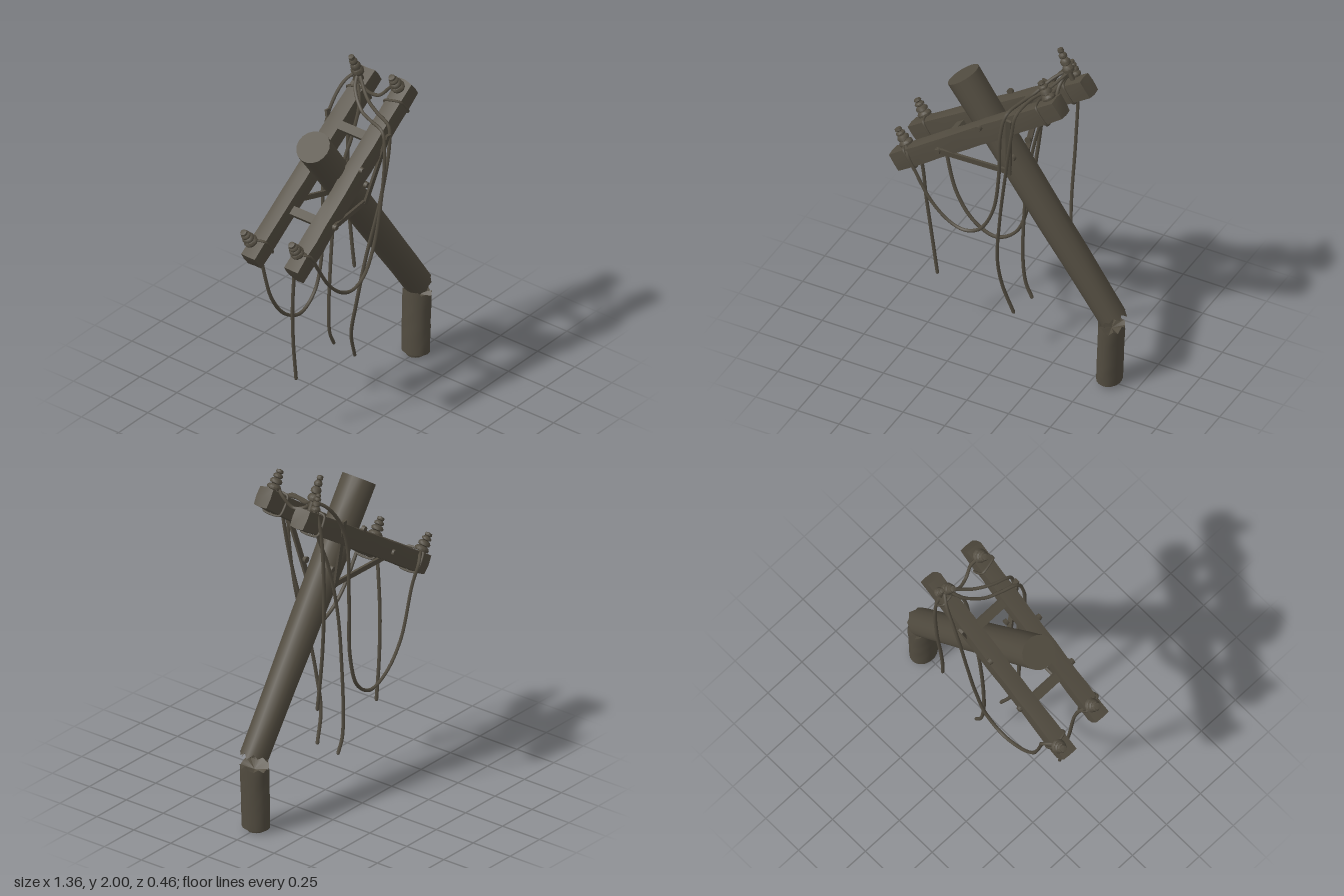
import * as THREE from 'three';
import { toCreasedNormals } from 'three/addons/utils/BufferGeometryUtils.js';

const weathered = new THREE.MeshStandardMaterial({ color: 0x524c40 });
weathered.name = 'weathered wood';

const V = (p) => new THREE.Vector3(...p);
const TILT = 0.604; // lean of the snapped pole
const UP = new THREE.Vector3(0, 1, 0);

// repeatable noise from a position, so that coincident vertices move together
function hash(x, y, z) {
  const s = Math.sin(Math.round(x * 500) * 12.9898 + Math.round(y * 500) * 78.233 + Math.round(z * 500) * 37.719) * 43758.5453;
  return s - Math.floor(s) - 0.5;
}

function add(parent, name, geometry, position = [0, 0, 0], rotZ = 0) {
  const mesh = new THREE.Mesh(geometry, weathered);
  mesh.name = name;
  mesh.position.set(...position);
  mesh.rotation.z = rotZ;
  parent.add(mesh);
  return mesh;
}

// round timber whose end (1 top, -1 bottom) is splintered and hollow
function brokenTimber(rTop, rBottom, length, brokenEnd, jag, hollow, zScale) {
  const n = jag.length;
  const g = new THREE.CylinderGeometry(rTop, rBottom, length, n, 8);
  const p = g.attributes.position;
  for (let i = 0; i < p.count; i++) {
    const x = p.getX(i), y = p.getY(i), z = p.getZ(i);
    const r = Math.hypot(x, z);
    const k = (Math.round((Math.atan2(x, z) / (2 * Math.PI)) * n) + n) % n;
    let ny = y;
    if (Math.abs(y - (brokenEnd * length) / 2) < 1e-4) {
      ny += brokenEnd * (r < 0.01 ? -hollow : jag[k]);
    }
    const s = 1 + 0.04 * hash(x, y, z);
    p.setXYZ(i, x * s, ny, z * s * zScale);
  }
  return toCreasedNormals(g, 0.6);
}

// worn square beam lying along x
function wornBeam(length, height, depth) {
  const g = new THREE.BoxGeometry(length, height, depth, 12, 2, 2);
  const p = g.attributes.position;
  for (let i = 0; i < p.count; i++) {
    const x = p.getX(i), y = p.getY(i), z = p.getZ(i);
    const corner = Math.abs(y) > 0.01 && Math.abs(z) > 0.01 ? 0.93 : 1;
    const h = hash(x, y, z);
    const end = Math.abs(x) > length / 2 - 1e-4 ? 0.012 * h : 0;
    p.setXYZ(i, x + end, y * corner * (1 + 0.1 * h), z * corner * (1 + 0.1 * hash(z, x, y)));
  }
  return toCreasedNormals(g, 0.45);
}

// flat bar between two points
function bar(parent, name, a, b, width, thick) {
  const from = V(a), to = V(b);
  const mesh = add(parent, name, new THREE.BoxGeometry(width, thick, from.distanceTo(to)));
  mesh.position.copy(from).lerp(to, 0.5);
  mesh.up.set(0, 0, 1);
  mesh.lookAt(to);
}

function wire(parent, name, points, radius = 0.01, closed = false) {
  const curve = new THREE.CatmullRomCurve3(points.map(V), closed, 'centripetal');
  add(parent, name, new THREE.TubeGeometry(curve, points.length * 9, radius, 6, closed));
  if (closed) return;
  for (const q of [points[0], points[points.length - 1]]) {
    add(parent, name + 'End', new THREE.SphereGeometry(radius, 6, 4), q);
  }
}

// loop of wire hugging a beam of half height h and half depth d
function wrap(parent, x, h, d) {
  const corners = [[1, 0.8], [0.8, 1], [-0.8, 1], [-1, 0.8], [-1, -0.8], [-0.8, -1], [0.8, -1], [1, -0.8]];
  wire(parent, 'wrap', corners.map(([y, z]) => [x + 0.012 * z, y * h, z * d]), 0.007, true);
}

// stacked insulator from its foot to its tip
const insulatorProfile = [
  [0, -0.03], [0.016, -0.03], [0.016, 0.015], [0.037, 0.02], [0.04, 0.035], [0.03, 0.05], [0.019, 0.054],
  [0.032, 0.06], [0.034, 0.074], [0.025, 0.088], [0.015, 0.092], [0.026, 0.098], [0.027, 0.11],
  [0.018, 0.12], [0.014, 0.123], [0.021, 0.13], [0.018, 0.145], [0, 0.15],
].map(([r, y]) => new THREE.Vector2(r, y));

function insulator(parent, foot, tip, width = 1) {
  const d = V(tip).sub(V(foot));
  const scale = d.length() / 0.15;
  const mesh = add(parent, 'insulator', toCreasedNormals(new THREE.LatheGeometry(insulatorProfile, 12), 0.9), foot);
  mesh.scale.set(width, scale, width);
  mesh.quaternion.setFromUnitVectors(UP, d.normalize());
}

function bolt(parent, x, y, z) {
  const mesh = add(parent, 'bolt', new THREE.CylinderGeometry(0.016, 0.019, 0.02, 8), [x, y, z]);
  mesh.rotation.x = z > 0 ? Math.PI / 2 : -Math.PI / 2;
}

export function createModel() {
  const model = new THREE.Group();
  model.name = 'brokenUtilityPole';

  // snapped pole, leaning, and the stump it broke from
  const poleJag = [0.0, 0.01, 0.0, 0.03, 0.01, 0.04, 0.005, 0.02, 0.0, 0.01, -0.005, 0.015, 0.01, 0.02, 0.03, 0.025, 0.01, 0.015];
  add(model, 'pole', brokenTimber(0.094, 0.077, 1.565, -1, poleJag, 0.07, 1.03), [0.157, 1.09, 0], TILT);
  const stumpJag = [-0.01, -0.02, 0.0, -0.02, 0.01, -0.01, -0.015, 0.0, -0.02, -0.005, -0.02, 0.005, 0.02, 0.05, 0.045, 0.03, 0.0, 0.005];
  add(model, 'stump', brokenTimber(0.069, 0.068, 0.37, 1, stumpJag, 0.03, 1.2), [0.596, 0.207, 0], -0.035);
  add(model, 'stumpFoot', new THREE.CylinderGeometry(0.055, 0.05, 0.03, 14), [0.588, 0.015, 0]);

  // long splinters around the break
  for (const [x, y, z, a] of [[0.645, 0.475, 0.03, 0.9], [0.635, 0.475, -0.04, 0.7], [0.57, 0.425, 0.045, 0.4]]) {
    add(model, 'splinter', new THREE.ConeGeometry(0.014, 0.08, 4), [x, y, z], a + Math.PI);
  }

  // two crossarms, one on each side of the pole
  const arms = [
    { name: 'frontArm', a: [-0.612, 1.14], b: [0.369, 1.843], z: 0.127 },
    { name: 'backArm', a: [-0.64, 1.138], b: [0.392, 1.81], z: -0.14 },
  ];
  for (const { name, a, b, z } of arms) {
    const dx = b[0] - a[0], dy = b[1] - a[1];
    const arm = new THREE.Group();
    arm.name = name;
    arm.position.set((a[0] + b[0]) / 2, (a[1] + b[1]) / 2, z);
    arm.rotation.z = Math.atan2(dy, dx);
    model.add(arm);
    const length = Math.hypot(dx, dy);
    add(arm, 'beam', wornBeam(length, 0.114, 0.096));
    // wire wrapped round the beam near each insulator
    for (const x of [-length / 2 + 0.1, length / 2 - 0.13]) wrap(arm, x, 0.06, 0.051);
  }

  // braces and bolts on both faces
  for (const s of [1, -1]) {
    bar(model, 'lowerBrace', [-0.35, 1.335, s * 0.188], [0.05, 1.262, s * 0.09], 0.03, 0.014);
    bar(model, 'upperBrace', [0.035, 1.25, s * 0.095], [0.095, 1.7, s * 0.205], 0.03, 0.014);
    bolt(model, -0.1, 1.565, s * 0.182);
    bolt(model, -0.34, 1.333, s * 0.192);
    bolt(model, 0.055, 1.36, s * 0.09);
  }

  // spacers between the arms
  for (const [x, y] of [[-0.345, 1.325], [0.07, 1.65]]) {
    add(model, 'spacer', new THREE.BoxGeometry(0.05, 0.03, 0.2), [x, y, -0.005], TILT);
  }

  insulator(model, [-0.555, 1.235, 0.115], [-0.622, 1.338, 0.115]);
  insulator(model, [-0.595, 1.22, -0.165], [-0.662, 1.32, -0.178]);
  insulator(model, [0.3, 1.85, 0.12], [0.235, 1.96, 0.115]);
  insulator(model, [0.285, 1.85, -0.135], [0.215, 2.0, -0.142], 0.85);
  insulator(model, [0.305, 1.815, -0.17], [0.27, 1.92, -0.172], 0.7);

  // slack lines slung between the arm ends
  wire(model, 'frontSlackLine', [
    [-0.57, 1.27, 0.12], [-0.53, 1.23, 0.175], [-0.48, 1.14, 0.18], [-0.38, 0.98, 0.185], [-0.27, 0.885, 0.187], [-0.18, 0.86, 0.187],
    [-0.09, 0.9, 0.187], [-0.01, 1.05, 0.19], [0.035, 1.32, 0.205], [0.05, 1.6, 0.215], [0.07, 1.72, 0.185],
    [0.1, 1.74, 0.08], [0.13, 1.75, 0], [0.2, 1.82, -0.1], [0.28, 1.88, -0.14],
  ]);
  wire(model, 'backSlackLine', [
    [-0.6, 1.25, -0.165], [-0.53, 1.2, -0.21], [-0.5, 1.08, -0.19], [-0.42, 0.78, -0.175], [-0.31, 0.63, -0.167], [-0.18, 0.575, -0.165],
    [-0.06, 0.65, -0.168], [0.01, 0.85, -0.175], [0.05, 1.2, -0.2], [0.09, 1.55, -0.22], [0.14, 1.7, -0.215],
    [0.22, 1.82, -0.19], [0.28, 1.87, -0.15],
  ]);

  // snapped lines hanging down
  wire(model, 'leftHangingLine', [[-0.57, 1.25, 0.115], [-0.53, 1.18, 0.07], [-0.51, 1.1, 0.05], [-0.495, 0.85, 0.025], [-0.47, 0.6, 0.01], [-0.44, 0.36, 0.005]]);
  wire(model, 'rightHangingLine', [[0.28, 1.87, -0.15], [0.29, 1.7, -0.2], [0.275, 1.35, -0.21], [0.262, 1.0, -0.19], [0.265, 0.8, -0.175], [0.275, 0.64, -0.165]]);
  wire(model, 'frontHangingLine', [
    [0.28, 1.87, -0.14], [0.2, 1.79, -0.02], [0.15, 1.77, 0.08], [0.125, 1.73, 0.185], [0.11, 1.62, 0.2], [0.06, 1.3, 0.18], [0.0, 0.95, 0.13],
    [-0.035, 0.65, 0.09], [-0.025, 0.45, 0.05], [0.03, 0.28, 0.03],
  ]);
  wire(model, 'backHangingLine', [
    [0.28, 1.87, -0.16], [0.21, 1.74, -0.08], [0.16, 1.58, -0.08], [0.1, 1.4, -0.1], [0.04, 1.1, -0.115],
    [0.01, 0.75, -0.12], [0.005, 0.5, -0.125], [0.02, 0.36, -0.13], [0.055, 0.28, -0.13],
  ]);

  // loose jumper between the two high ends
  wire(model, 'jumper', [[0.27, 1.9, 0.12], [0.29, 1.84, 0.06], [0.27, 1.78, 0], [0.25, 1.8, -0.07], [0.27, 1.88, -0.14]]);
  return model;
}
